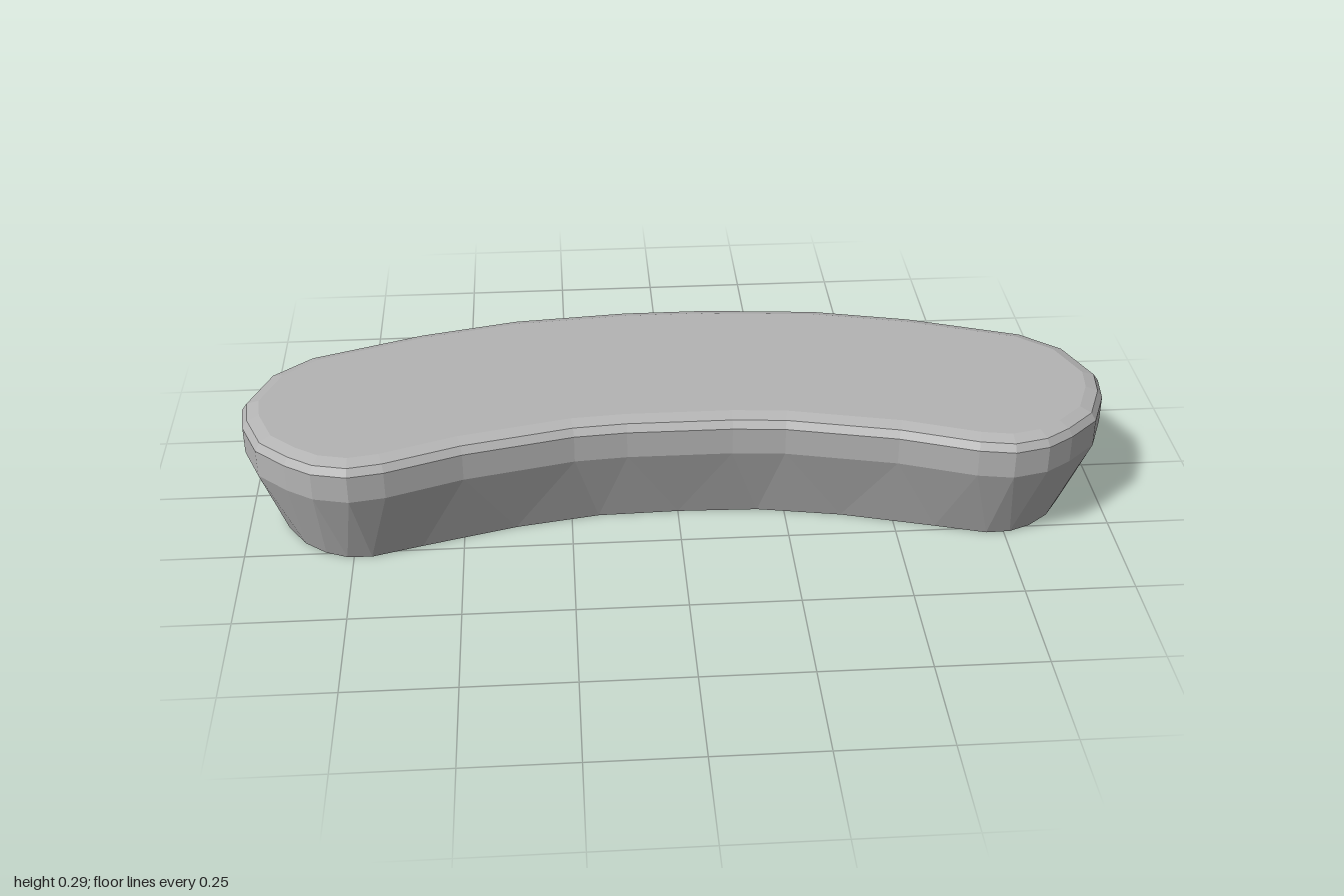
import * as THREE from 'three';

// Right half of the curved plan outline, from back centre round to front centre (x, z)
const HALF = [
  [0.1, -0.344], [0.37, -0.32], [0.6, -0.265], [0.86, -0.17], [0.95, -0.09], [1, 0.04],
  [0.99, 0.12], [0.95, 0.22], [0.88, 0.285], [0.82, 0.325], [0.74, 0.344], [0.66, 0.33],
  [0.49, 0.268], [0.24, 0.21], [0.12, 0.2],
];
const OUTLINE = [...HALF, ...HALF.map(([x, z]) => [-x, z]).reverse()];
const N = OUTLINE.length;

// Outline moved inwards by a distance, at height y
function ring(inset, y, source = OUTLINE) {
  const normal = (a, b) => new THREE.Vector2(b[1] - a[1], a[0] - b[0]).normalize();
  return source.map((p, i) => {
    const n1 = normal(source[(i + N - 1) % N], p);
    const n2 = normal(p, source[(i + 1) % N]);
    const m = n1.clone().add(n2).normalize();
    const d = inset / m.dot(n1);
    return [p[0] - m.x * d, y, p[1] - m.y * d];
  });
}

// Faceted mesh from a list of triangles
function facets(name, triangles, material) {
  const geometry = new THREE.BufferGeometry();
  geometry.setAttribute('position', new THREE.Float32BufferAttribute(triangles.flat(2), 3));
  geometry.computeVertexNormals();
  const mesh = new THREE.Mesh(geometry, material);
  mesh.name = name;
  return mesh;
}

// Band of quads between two rings
function band(low, high) {
  return low.flatMap((a, i) => {
    const j = (i + 1) % N;
    return [[a, high[i], high[j]], [a, high[j], low[j]]];
  });
}

export function createModel() {
  const group = new THREE.Group();
  group.name = 'curvedBench';
  const grey = new THREE.MeshStandardMaterial({ color: 0xb4b4b4, side: THREE.DoubleSide });
  grey.name = 'grey';

  const shoulder = ring(0, 0.2);
  const lip = ring(0, 0.265);
  const bevel = ring(0.012, 0.282);
  const edge = ring(0.04, 0.291);

  // Sloping wall: foot corners sit between the shoulder corners, giving zigzag facets
  const middles = OUTLINE.map((p, i) => {
    const q = OUTLINE[(i + 1) % N];
    return [(p[0] + q[0]) / 2, (p[1] + q[1]) / 2];
  });
  const foot = ring(0.068, 0, middles);
  const wall = foot.flatMap((m, i) => {
    const j = (i + 1) % N;
    return [[m, shoulder[i], shoulder[j]], [m, shoulder[j], foot[j]]];
  });
  group.add(facets('slopingWall', wall, grey));

  // Upright band and rounded rim
  group.add(facets('uprightBand', band(shoulder, lip), grey));
  group.add(facets('rim', [...band(lip, bevel), ...band(bevel, edge)], grey));

  // Flat top; the underside stays open
  const flat = edge.map(([x, , z]) => new THREE.Vector2(x, z));
  const top = THREE.ShapeUtils.triangulateShape(flat, []).map(([a, b, c]) => {
    const turn = flat[b].clone().sub(flat[a]).cross(flat[c].clone().sub(flat[a]));
    return (turn < 0 ? [a, b, c] : [a, c, b]).map((k) => edge[k]);
  });
  group.add(facets('top', top, grey));
  return group;
}
